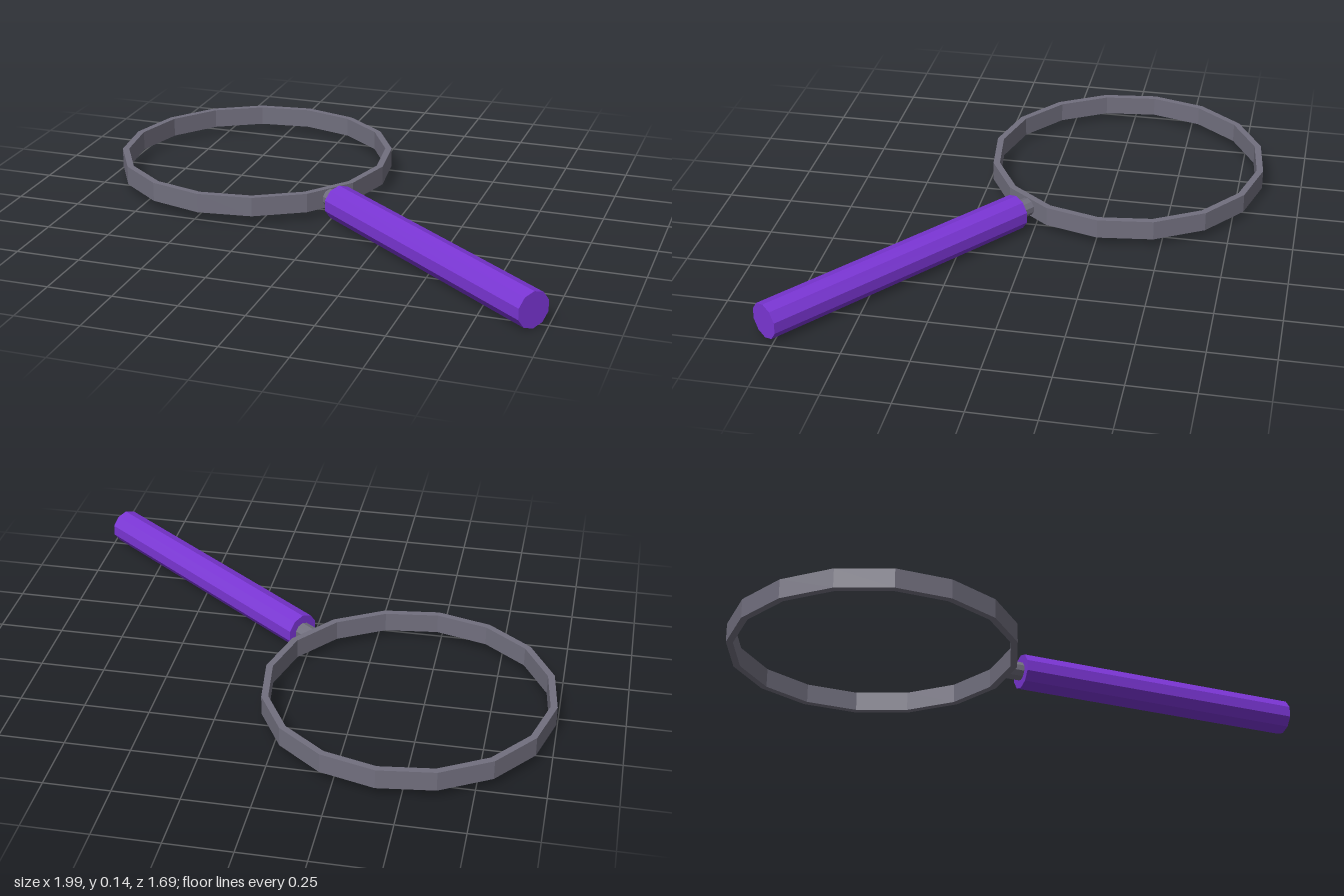
import * as THREE from 'three';

const metal = new THREE.MeshStandardMaterial({ color: 0x716f7e, flatShading: true });
metal.name = 'grey metal';
const grip = new THREE.MeshStandardMaterial({ color: 0x7a35d4, flatShading: true });
grip.name = 'purple grip';

// Ten-sided rod lying along x, from distance x0 to x1, with an edge on top
function rod(name, radius, x0, x1, material) {
  const geometry = new THREE.CylinderGeometry(radius, radius, x1 - x0, 10, 1, false, Math.PI / 2);
  geometry.rotateZ(-Math.PI / 2);
  const mesh = new THREE.Mesh(geometry, material);
  mesh.name = name;
  mesh.position.x = (x0 + x1) / 2;
  return mesh;
}

export function createModel() {
  const model = new THREE.Group();
  model.name = 'magnifyingGlass';

  // Local frame: origin at the ring centre, handle along +x
  const body = new THREE.Group();
  body.name = 'body';
  body.position.set(-0.447, 0.07, -0.297);
  body.rotation.y = -THREE.MathUtils.degToRad(37.8);
  model.add(body);

  // Open sixteen-sided ring with a rectangular section
  const inner = 0.526, outer = 0.552, half = 0.038;
  const section = [[inner, -half], [outer, -half], [outer, half], [inner, half], [inner, -half]]
    .map(([x, y]) => new THREE.Vector2(x, y));
  const ring = new THREE.Mesh(new THREE.LatheGeometry(section, 16, Math.PI / 16), metal);
  ring.name = 'lensRing';
  body.add(ring);

  // Short neck and long handle
  body.add(rod('neck', 0.036, 0.53, 0.61, metal));
  body.add(rod('handle', 0.069, 0.603, 1.772, grip));

  return model;
}
